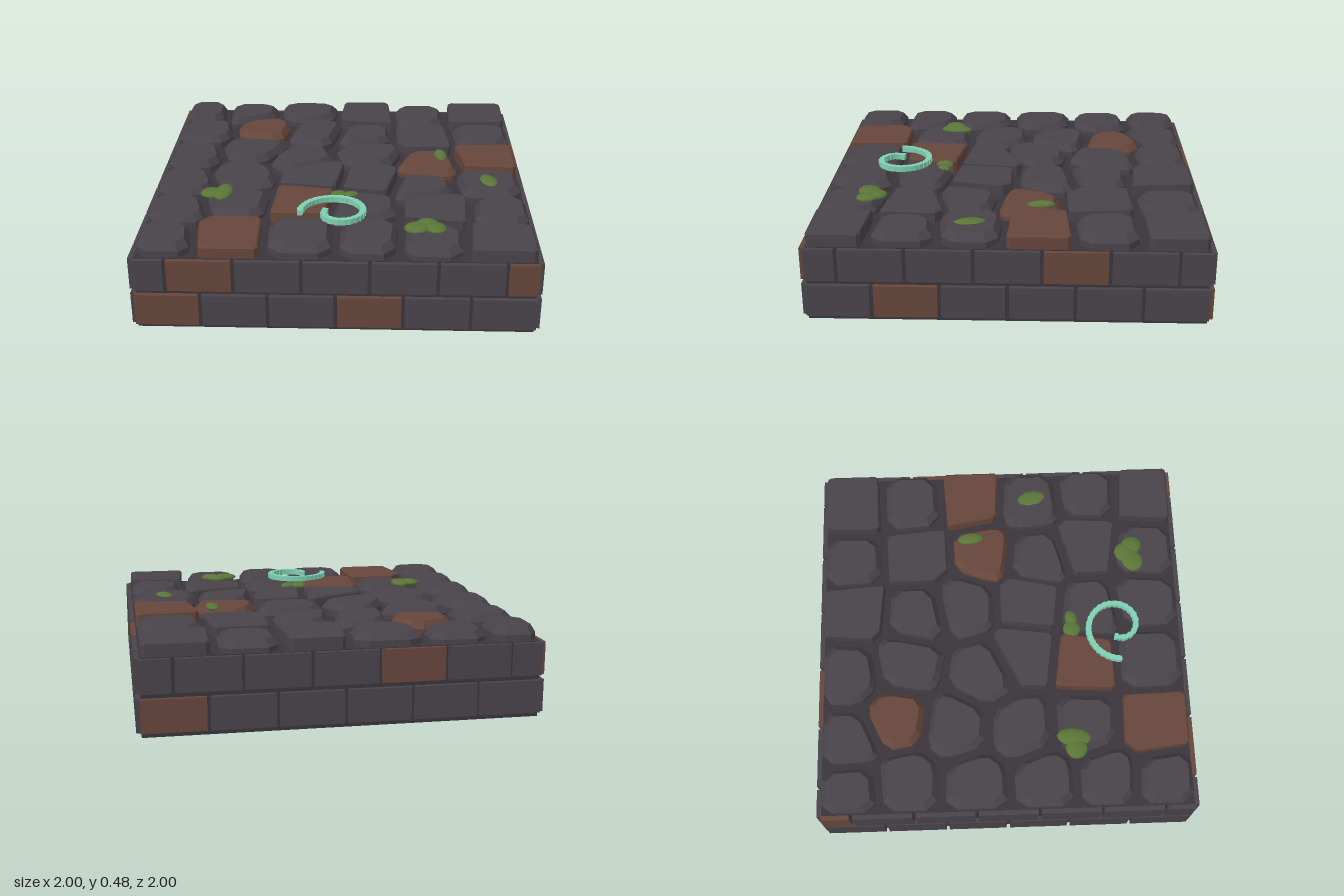
import * as THREE from 'three';

const mat = (name, color) => {
  const m = new THREE.MeshStandardMaterial({ color });
  m.name = name;
  return m;
};

// Keep the part of a polygon where n . p <= d
function clip(poly, nx, nz, d) {
  const out = [];
  poly.forEach((a, i) => {
    const b = poly[(i + 1) % poly.length];
    const da = a[0] * nx + a[1] * nz - d, db = b[0] * nx + b[1] * nz - d;
    if (da <= 0) out.push(a);
    if (da * db < 0) {
      const t = da / (da - db);
      out.push([a[0] + (b[0] - a[0]) * t, a[1] + (b[1] - a[1]) * t]);
    }
  });
  return out;
}

// Outline of one paving stone: the area nearest its seed, less half a joint
function cell(seeds, k) {
  const [px, pz] = seeds[k], e = 0.97, joint = 0.021;
  let poly = [[-e, -e], [-e, e], [e, e], [e, -e]];
  seeds.forEach(([qx, qz], j) => {
    if (j === k) return;
    const len = Math.hypot(qx - px, qz - pz);
    const nx = (qx - px) / len, nz = (qz - pz) / len;
    poly = clip(poly, nx, nz, ((px + qx) * nx + (pz + qz) * nz) / 2 - joint);
  });
  return poly;
}

// Cut every corner of an outline
function chop(poly, f) {
  return poly.flatMap((p, i) => {
    const a = poly[(i + poly.length - 1) % poly.length], b = poly[(i + 1) % poly.length];
    return [a, b].map(q => [p[0] + (q[0] - p[0]) * f, p[1] + (q[1] - p[1]) * f]);
  });
}

// Stone with upright walls, a sloping shoulder and a flat top
function stoneGeometry(poly, shoulder, top, scale) {
  const n = poly.length;
  const c = [0, 1].map(k => poly.reduce((s, p) => s + p[k], 0) / n);
  const ring = (y, s) => poly.map(p => [c[0] + (p[0] - c[0]) * s, y, c[1] + (p[1] - c[1]) * s]);
  const rings = [ring(0.37, 1), ring(shoulder, 1), ring(top, scale)];
  const v = [];
  for (let i = 0; i < n; i++) {
    const j = (i + 1) % n;
    for (let r = 0; r < 2; r++) {
      const A = rings[r], B = rings[r + 1];
      v.push(...A[i], ...A[j], ...B[j], ...A[i], ...B[j], ...B[i]);
    }
    v.push(c[0], top, c[1], ...rings[2][i], ...rings[2][j]);
  }
  const g = new THREE.BufferGeometry();
  g.setAttribute('position', new THREE.Float32BufferAttribute(v, 3));
  g.computeVertexNormals();
  return g;
}

export function createModel() {
  const model = new THREE.Group();
  model.name = 'stoneFloorTile';
  const mortar = mat('mortar', 0x39353b);
  const stone = mat('stone', 0x48434a);
  const clay = mat('clay', 0x66463b);
  const green = mat('moss', 0x5a7538);
  const teal = mat('rune', 0x7fd0b2);

  const add = (parent, name, geo, material, x = 0, y = 0, z = 0) => {
    const m = new THREE.Mesh(geo, material);
    m.name = name;
    m.position.set(x, y, z);
    parent.add(m);
    return m;
  };

  // Mortar core
  add(model, 'mortarCore', new THREE.BoxGeometry(1.95, 0.385, 1.95), mortar, 0, 0.1925, 0);

  // Two brick courses on each side; clay bricks listed by index (lower, upper)
  const sides = [
    ['frontBricks', 0, [0, 3], [1, 6]],
    ['rightBricks', Math.PI / 2, [1], [4]],
    ['backBricks', Math.PI, [0], [4]],
    ['leftBricks', -Math.PI / 2, [], [0]],
  ];
  for (const [name, angle, ...reds] of sides) {
    const wall = new THREE.Group();
    wall.name = name;
    wall.rotation.y = angle;
    reds.forEach((red, row) => {
      for (let k = 0; k < 6 + row; k++) {
        const start = -0.98 - row * 0.164 + k * 0.33;
        const a = Math.max(start, -0.98), b = Math.min(start + 0.312, 0.98);
        add(wall, 'brick', new THREE.BoxGeometry(b - a, 0.165, 0.06),
          red.includes(k) ? clay : stone, (a + b) / 2, 0.108 + row * 0.191, 0.97);
      }
    });
    model.add(wall);
  }

  // Paving: six rows of stone centres
  const rows = [
    [[-.86, -.83], [-.59, -.84], [-.22, -.84], [.15, -.81], [.45, -.83], [.79, -.82]],
    [[-.83, -.52], [-.47, -.58], [-.16, -.52], [.12, -.46], [.47, -.46], [.80, -.49]],
    [[-.85, -.16], [-.52, -.26], [-.23, -.10], [.17, -.20], [.48, -.09], [.82, -.15]],
    [[-.84, .20], [-.54, .09], [-.13, .11], [.17, .15], [.44, .21], [.80, .18]],
    [[-.84, .53], [-.53, .43], [-.18, .45], [.12, .50], [.52, .50], [.84, .52]],
    [[-.86, .83], [-.54, .79], [-.17, .78], [.17, .78], [.47, .80], [.82, .83]],
  ];
  const seeds = rows.flat();
  const squared = [3, 5, 10, 17, 20, 21, 26, 28, 31, 35];
  const clayStones = [7, 16, 17, 26, 31];
  const paving = new THREE.Group();
  paving.name = 'paving';
  seeds.forEach((s, k) => {
    const outline = cell(seeds, k);
    const low = k % 3 === 1 ? 0.01 : 0;
    const geo = squared.includes(k)
      ? stoneGeometry(chop(outline, 0.06), 0.447 - low, 0.457 - low, 0.95)
      : stoneGeometry(chop(outline, 0.2), 0.418 - low, 0.455 - low, 0.81);
    add(paving, 'pavingStone', geo, clayStones.includes(k) ? clay : stone);
  });
  model.add(paving);

  // Moss clumps: x, z, half width, half depth, turn
  const moss = [
    [-.67, .37, .06, .06, 0], [-.61, .36, .05, .095, -.1],
    [.0, .38, .05, .05, 0], [.06, .38, .05, .035, .3],
    [.80, .19, .05, .09, .2],
    [.40, .74, .07, .06, .4], [.45, .70, .06, .06, 0], [.49, .74, .055, .06, .3],
    [.56, -.16, .035, .075, .1],
  ];
  const tuft = new THREE.IcosahedronGeometry(1, 1);
  for (const [x, z, w, d, turn] of moss) {
    const m = add(model, 'moss', tuft, green, x, 0.446, z);
    m.scale.set(w, 0.02, d);
    m.rotation.y = turn;
  }

  // Spiral rune of small blocks
  const rune = new THREE.Group();
  rune.name = 'spiralRune';
  const block = new THREE.BoxGeometry(0.02, 0.03, 0.03);
  const count = 56;
  for (let i = 0; i < count; i++) {
    const t = 1.32 * (1 - Math.sqrt(1 - i / count * 0.97));
    const r = 0.19 - 0.123 * t, a = Math.PI + t * Math.PI * 2;
    const b = add(rune, 'runeBlock', block, teal, r * Math.cos(a), 0.469, 0.63 + r * Math.sin(a));
    b.rotation.y = Math.PI / 2 - a;
    b.scale.z = i % 2 ? 1 : 0.8;
  }
  model.add(rune);
  return model;
}
